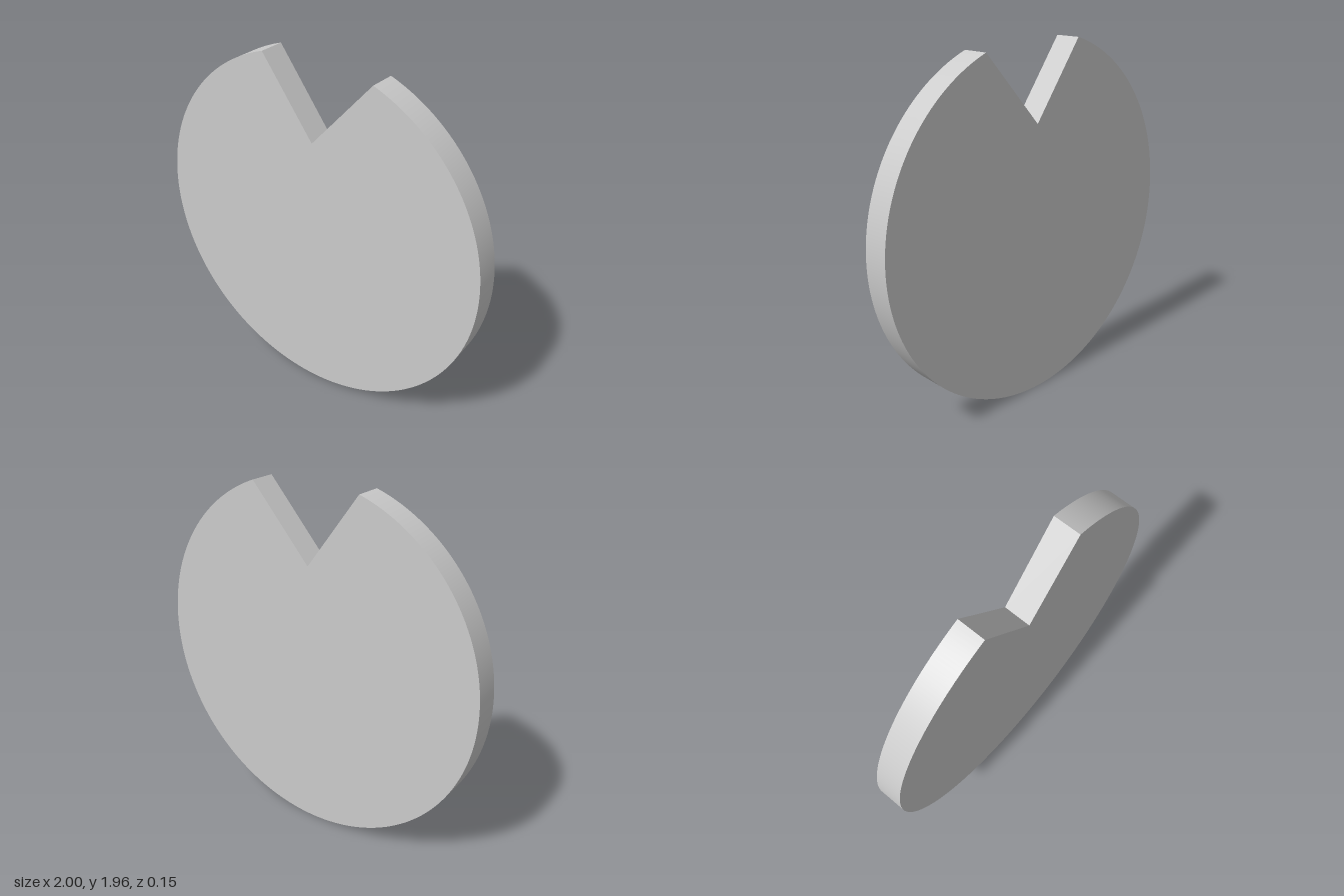
import * as THREE from 'three';
import { toCreasedNormals } from 'three/addons/utils/BufferGeometryUtils.js';

const RADIUS = 1;
const THICKNESS = 0.15;

export function createModel() {
  const group = new THREE.Group();
  group.name = 'notchedDisc';

  // Disc outline: from the left lip of the notch round the bottom to the right lip
  const leftLip = Math.atan2(0.955, -0.295);
  const rightLip = Math.atan2(0.933, 0.36) + Math.PI * 2;
  const outline = new THREE.Shape();
  outline.absarc(0, RADIUS, RADIUS, leftLip, rightLip, false);
  // Bottom of the V-shaped notch
  outline.lineTo(0.01, 1.54);
  outline.closePath();

  const extruded = new THREE.ExtrudeGeometry(outline, {
    depth: THICKNESS,
    bevelEnabled: false,
    curveSegments: 128,
  });
  extruded.translate(0, 0, -THICKNESS / 2);

  // Smooth rim, sharp face and notch edges
  const disc = new THREE.Mesh(
    toCreasedNormals(extruded, 0.5),
    new THREE.MeshStandardMaterial({ color: 0xcccccc })
  );
  disc.name = 'disc';
  group.add(disc);

  return group;
}
